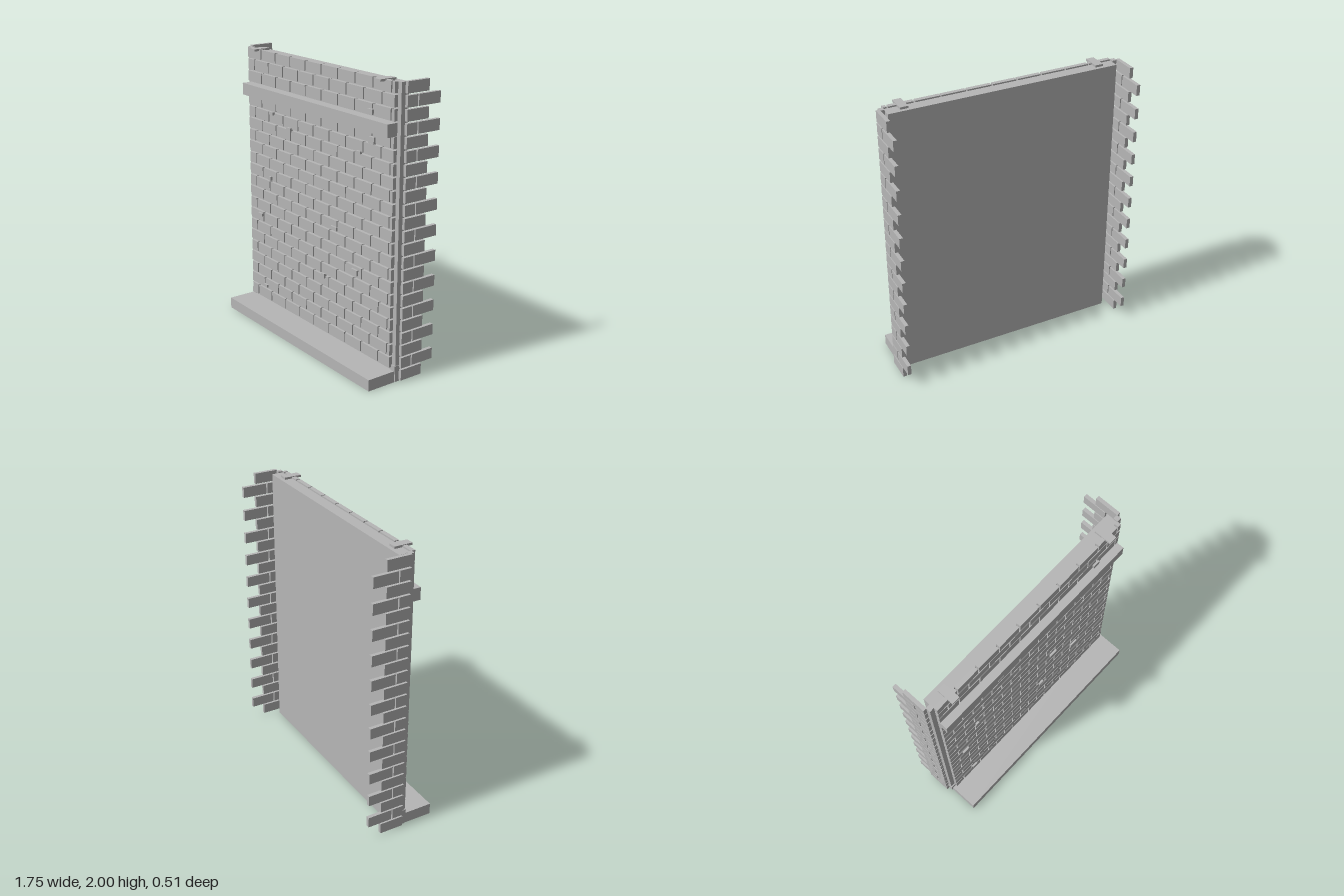
import * as THREE from 'three';

const stone = new THREE.MeshStandardMaterial({ color: 0xb6b6b6 });
stone.name = 'grey stone';

// Box given by its limits on each axis
function block(parent, name, x0, x1, y0, y1, z0, z1) {
  const mesh = new THREE.Mesh(new THREE.BoxGeometry(x1 - x0, y1 - y0, z1 - z0), stone);
  mesh.position.set((x0 + x1) / 2, (y0 + y1) / 2, (z0 + z1) / 2);
  mesh.name = name;
  parent.add(mesh);
  return mesh;
}

function subgroup(parent, name) {
  const g = new THREE.Group();
  g.name = name;
  parent.add(g);
  return g;
}

export function createModel() {
  const model = new THREE.Group();
  model.name = 'brickWall';
  const half = 0.82, pitch = 0.0868, brickH = 0.075, brickW = 0.18, joint = 0.01;

  // Core, base ledge and upper band
  block(model, 'wallCore', -half, half, 0, 1.985, -0.045, 0.04);
  block(model, 'baseLedge', -0.845, 0.845, 0, 0.08, 0, 0.255);
  block(model, 'upperBand', -half, half, 1.655, 1.74, 0.035, 0.118);

  // Front bricks in running bond, clipped at both ends
  const face = subgroup(model, 'frontBricks');
  for (let i = 0; i < 22; i++) {
    if (i === 3) continue; // band covers this course
    const top = 2 - pitch * i - (i === 0 ? 0.005 : 0);
    const bottom = 2 - pitch * i - brickH;
    const start = i % 2 ? -0.92 : -0.83;
    for (let x = start; x < half; x += brickW) {
      const a = Math.max(-half, x + joint / 2);
      const b = Math.min(half, x + brickW - joint / 2);
      if (b - a > 0.012) block(face, 'brick', a, b, bottom, top, 0.035, 0.066);
    }
  }

  // Corner strips and toothed side returns, mirrored
  for (const s of [-1, 1]) {
    const side = subgroup(model, s > 0 ? 'leftReturn' : 'rightReturn');
    const put = (name, x0, x1, y0, y1, z0, z1) =>
      block(side, name, Math.min(s * x0, s * x1), Math.max(s * x0, s * x1), y0, y1, z0, z1);
    put('cornerStrip', half, 0.853, 0.005, 1.995, 0.004, 0.04);
    put('cornerFoot', 0.815, 0.857, 0.08, 0.12, 0.01, 0.048);
    for (let i = 0; i < 23; i++) {
      const y1 = 2 - pitch * i, y0 = y1 - brickH;
      if (i % 2) {
        put('sideBrick', 0.85, 0.876, y0, y1, -0.072, 0.01);
        put('sideBrick', 0.85, 0.876, y0, y1, -0.257, -0.081);
      } else {
        put('sideBrick', 0.85, 0.876, y0, y1, -0.163, 0.01);
      }
    }
    // Flat clip over the top edge
    put('topClip', 0.672, 0.73, 1.985, 2, -0.02, 0.106);
  }

  // Small raised chips: centre x, centre y, width, height
  const chips = subgroup(model, 'chips');
  [
    [0.598, 1.775, 0.05, 0.035], [0.617, 1.595, 0.055, 0.045],
    [-0.515, 1.563, 0.05, 0.02], [-0.3, 1.485, 0.05, 0.03],
    [0.485, 1.49, 0.042, 0.018], [-0.543, 1.075, 0.027, 0.03],
    [0.225, 0.905, 0.063, 0.025], [-0.68, 0.765, 0.053, 0.02],
    [0.455, 0.66, 0.063, 0.04], [0.106, 0.525, 0.037, 0.032],
    [-0.624, 0.21, 0.042, 0.022],
  ].forEach(([x, y, w, h]) =>
    block(chips, 'chip', x - w / 2, x + w / 2, y - h / 2, y + h / 2, 0.06, 0.08));

  return model;
}
